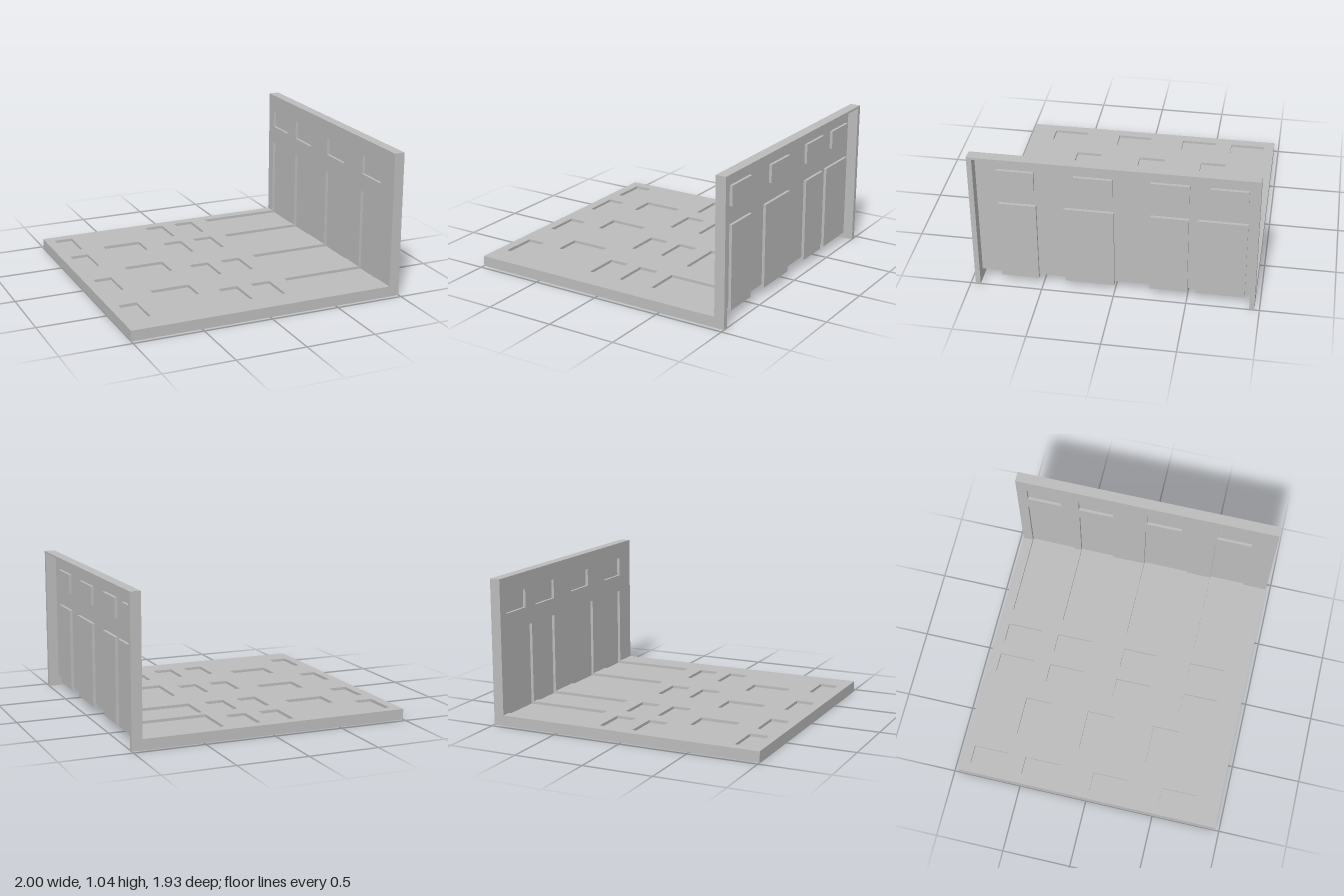
import * as THREE from 'three';

const FLOOR_Y = 0.075, WALL_X = 0.925, DEPTH = 0.02;
const HALF_Z = 0.966, INNER_Z = 0.931, INNER_X = -0.982, INNER_TOP = 1.025, TOP = 1.04;

// bays: trenches that run along the floor and up the wall, as [z0, z1]
const BAYS = [[-0.892, -0.558], [-0.5, -0.244], [0.002, 0.34], [0.528, 0.788]];
const BAY_X = 0.322, BAY_TOP = 0.654;

// floor pockets as [x0, x1, z0, z1]
const ROWS = [[-0.892, -0.63], [-0.505, -0.245], [0.012, 0.269], [0.528, 0.787]];
const COLUMNS = [[-0.93, -0.796], [-0.19, -0.047], [0.058, 0.202]];
const FLOOR_POCKETS = [
  ...COLUMNS.flatMap(c => ROWS.map(r => [...c, ...r])),
  ...[[-0.614, -0.421], [-0.138, 0.063], [0.365, 0.557]].map(r => [-0.635, -0.347, ...r]),
];

// wall pockets as [z0, z1, y0, y1]
const WALL_POCKETS = [
  [0.536, 0.789, 0.78, 0.92], [0.01, 0.269, 0.785, 0.915],
  [-0.502, -0.243, 0.78, 0.92], [-0.888, -0.637, 0.785, 0.915],
];

function polygon(points) {
  return new THREE.Shape(points.map(([x, y]) => new THREE.Vector2(x, y)));
}

function rectHole([u0, u1, v0, v1]) {
  return new THREE.Path([[u0, v0], [u0, v1], [u1, v1], [u1, v0]].map(([x, y]) => new THREE.Vector2(x, y)));
}

export function createModel() {
  const grey = new THREE.MeshStandardMaterial({ color: 0xbcbcbc, side: THREE.DoubleSide });
  grey.name = 'grey';
  const model = new THREE.Group();
  model.name = 'moldedFloorAndWall';

  const add = (parent, name, geometry) => {
    const mesh = new THREE.Mesh(geometry, grey);
    mesh.name = name;
    parent.add(mesh);
    return mesh;
  };

  // thin sheet with open-topped pockets pressed into it along local +z
  const pressedSheet = (name, outline, pockets) => {
    const group = new THREE.Group();
    group.name = name;
    const shape = polygon(outline);
    shape.holes = pockets.map(rectHole);
    add(group, name + 'Sheet', new THREE.ShapeGeometry(shape));
    for (const [u0, u1, v0, v1] of pockets) {
      const pan = new THREE.BoxGeometry(u1 - u0, v1 - v0, DEPTH);
      pan.setIndex(Array.from(pan.index.array).slice(0, 30)); // leave the mouth open
      pan.clearGroups();
      add(group, name + 'Pocket', pan).position.set((u0 + u1) / 2, (v0 + v1) / 2, DEPTH / 2);
    }
    model.add(group);
    return group;
  };

  // floor, notched where the bays run into the wall (local y is z)
  const floorOutline = [[INNER_X, INNER_Z], [INNER_X, -INNER_Z], [WALL_X, -INNER_Z]];
  for (const [z0, z1] of BAYS) {
    floorOutline.push([WALL_X, z0], [BAY_X, z0], [BAY_X, z1], [WALL_X, z1]);
  }
  floorOutline.push([WALL_X, INNER_Z]);
  const floor = pressedSheet('floor', floorOutline, FLOOR_POCKETS);
  floor.rotation.x = Math.PI / 2;
  floor.position.y = FLOOR_Y;

  // wall, notched by the same bays (local x is -z)
  const wallOutline = [[-INNER_Z, INNER_TOP], [-INNER_Z, FLOOR_Y]];
  for (const [z0, z1] of [...BAYS].reverse()) {
    wallOutline.push([-z1, FLOOR_Y], [-z1, BAY_TOP], [-z0, BAY_TOP], [-z0, FLOOR_Y]);
  }
  wallOutline.push([INNER_Z, FLOOR_Y], [INNER_Z, INNER_TOP]);
  const wall = pressedSheet('wall', wallOutline, WALL_POCKETS.map(([z0, z1, y0, y1]) => [-z1, -z0, y0, y1]));
  wall.rotation.y = Math.PI / 2;
  wall.position.x = WALL_X;

  // bays: a bent strip closed by two L-shaped sides
  const low = FLOOR_Y - DEPTH, back = WALL_X + DEPTH;
  const strip = [[BAY_X, FLOOR_Y], [BAY_X, low], [back, low], [back, BAY_TOP], [WALL_X, BAY_TOP]];
  for (const [z0, z1] of BAYS) {
    const bay = new THREE.Group();
    bay.name = 'doorBay';
    const positions = [];
    for (let i = 0; i < strip.length - 1; i++) {
      const [a, b] = [strip[i], strip[i + 1]];
      positions.push(...a, z0, ...b, z0, ...b, z1, ...a, z0, ...b, z1, ...a, z1);
    }
    const bent = new THREE.BufferGeometry();
    bent.setAttribute('position', new THREE.Float32BufferAttribute(positions, 3));
    bent.computeVertexNormals();
    add(bay, 'baySurface', bent);
    for (const z of [z0, z1]) {
      const side = new THREE.ShapeGeometry(polygon([...strip, [WALL_X, FLOOR_Y]]));
      add(bay, 'baySide', side).position.z = z;
    }
    model.add(bay);
  }

  // L-shaped rims at both ends
  const profile = polygon([[-1, 0], [1, 0], [1, TOP], [WALL_X, TOP], [WALL_X, FLOOR_Y], [-1, FLOOR_Y]]);
  for (const z of [-HALF_Z, INNER_Z]) {
    const rim = new THREE.ExtrudeGeometry(profile, { depth: HALF_Z - INNER_Z, bevelEnabled: false });
    add(model, 'endRim', rim).position.z = z;
  }

  // straight rims along the floor edge and the wall top
  const bar = (name, x0, x1, y0, y1) => add(model, name, new THREE.BoxGeometry(x1 - x0, y1 - y0, 2 * INNER_Z))
    .position.set((x0 + x1) / 2, (y0 + y1) / 2, 0);
  bar('floorEdgeRim', -1, INNER_X, 0, FLOOR_Y);
  bar('wallTopRim', WALL_X, 1, INNER_TOP, TOP);

  return model;
}
